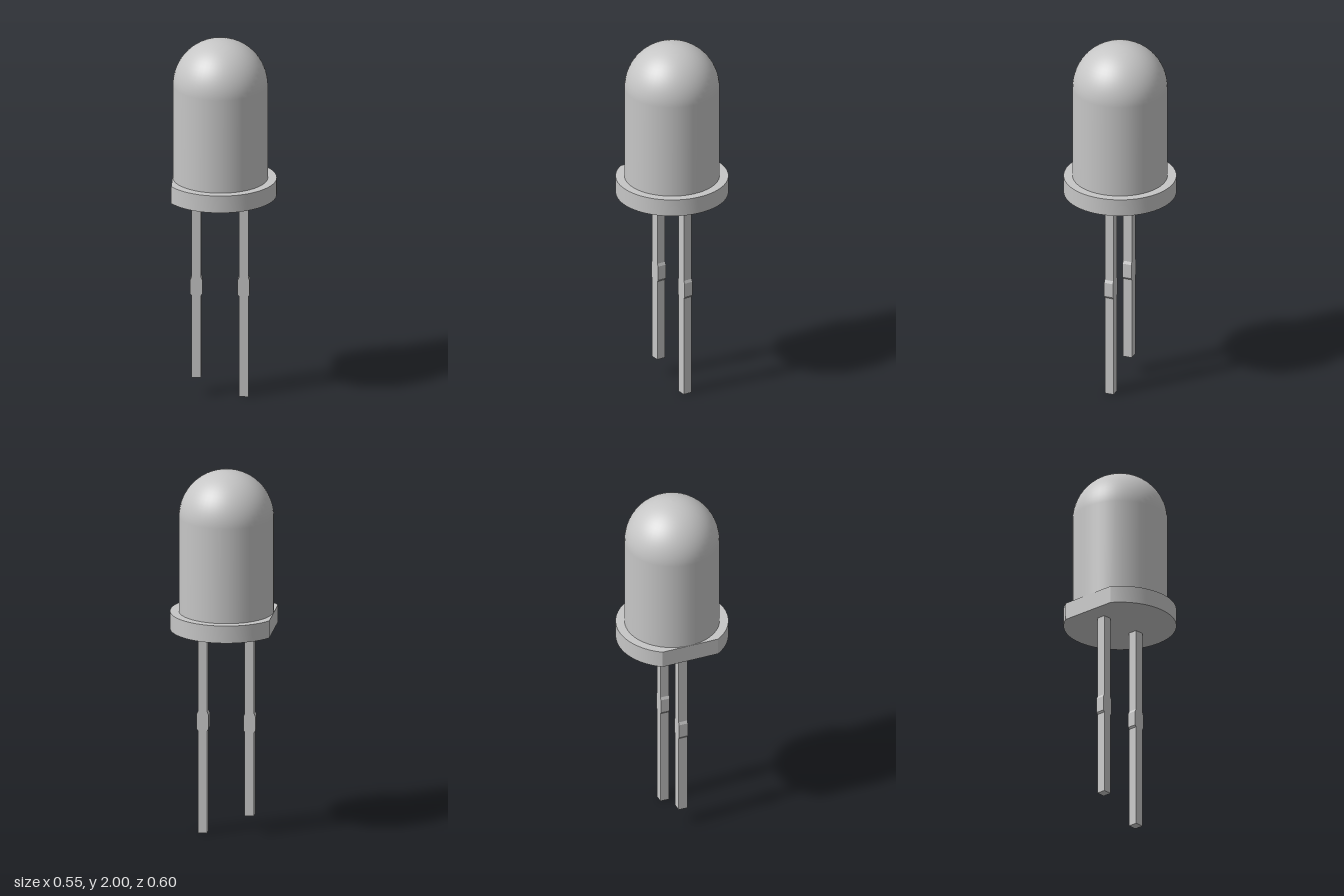
import * as THREE from 'three';
import { toCreasedNormals } from 'three/addons/utils/BufferGeometryUtils.js';

const CENTER_X = -0.024, BODY_R = 0.253, RIM_R = 0.3;
const RIM_BOTTOM = 1.13, RIM_TOP = 1.225, TOP = 2;

export function createModel() {
  const group = new THREE.Group();
  const grey = new THREE.MeshStandardMaterial({ color: 0xc6c6c6 });
  grey.name = 'neutral grey';

  function add(name, geometry, x, y, z) {
    const mesh = new THREE.Mesh(geometry, grey);
    mesh.name = name;
    mesh.position.set(x, y, z);
    group.add(mesh);
    return mesh;
  }

  // Domed lens: straight wall, then a quarter circle up to the tip
  const profile = [new THREE.Vector2(BODY_R, RIM_TOP - 0.02)];
  const steps = 16;
  for (let i = 0; i <= steps; i++) {
    const a = (i / steps) * Math.PI / 2;
    profile.push(new THREE.Vector2(
      i === steps ? 0 : BODY_R * Math.cos(a), TOP - BODY_R + BODY_R * Math.sin(a)));
  }
  add('domedBody', new THREE.LatheGeometry(profile, 48), CENTER_X, 0, 0);

  // Base rim: disc with one side cut flat
  const cut = Math.acos(0.254 / RIM_R);
  const rim = new THREE.Shape();
  rim.absarc(0, 0, RIM_R, -Math.PI + cut, Math.PI - cut, false);
  rim.closePath();
  const rimGeometry = new THREE.ExtrudeGeometry(rim, {
    depth: RIM_TOP - RIM_BOTTOM, bevelEnabled: false, curveSegments: 40 });
  rimGeometry.rotateX(-Math.PI / 2);
  add('baseRim', toCreasedNormals(rimGeometry, 0.5), CENTER_X, RIM_BOTTOM, 0);

  // Square wire legs, each with a slightly wider stop
  function legGeometry(bottom) {
    const w = 0.025, s = 0.032;
    const right = [[w, bottom], [w, 0.565], [s, 0.575], [s, 0.655], [w, 0.67], [w, RIM_BOTTOM + 0.01]];
    const left = right.map(([x, y]) => [-x, y]).reverse();
    const shape = new THREE.Shape([...right, ...left].map(([x, y]) => new THREE.Vector2(x, y)));
    return new THREE.ExtrudeGeometry(shape, { depth: 0.05, bevelEnabled: false });
  }
  add('shortLeg', legGeometry(0.105), -0.151, 0, -0.025);
  add('longLeg', legGeometry(0), 0.101, 0, -0.025);

  return group;
}
